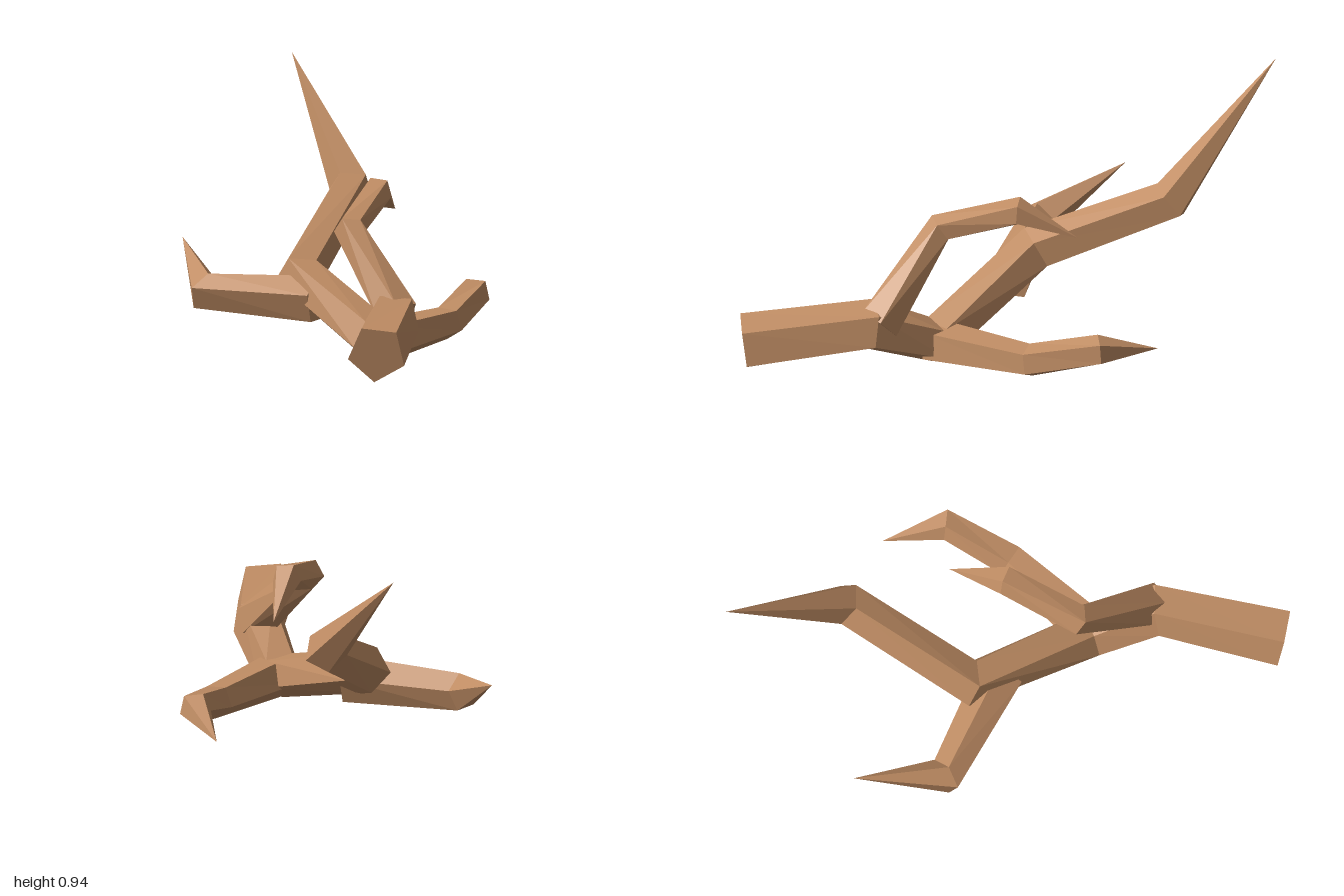
import * as THREE from 'three';

const SIDES = 5;
const material = new THREE.MeshStandardMaterial({ color: 0xc08d64, flatShading: true });
const up = new THREE.Vector3(0, 1, 0);

// Sweeps a five-sided section along rings of [x, y, z, radius]; radius 0 makes a point.
function limb(name, rings, phase = 120) {
  const centres = rings.map(([x, y, z]) => new THREE.Vector3(x, y, z));
  const direction = i => centres[i + 1].clone().sub(centres[i]).normalize();
  const last = rings.length - 1;
  const points = [];
  const index = [];

  rings.forEach((ring, i) => {
    // Each ring is mitred halfway between the two segments it joins.
    const normal = new THREE.Vector3();
    if (i > 0) normal.add(direction(i - 1));
    if (i < last) normal.add(direction(i));
    normal.normalize();
    const across = new THREE.Vector3().crossVectors(normal, up).normalize();
    const rise = new THREE.Vector3().crossVectors(across, normal);
    for (let j = 0; j < SIDES; j++) {
      const angle = THREE.MathUtils.degToRad(phase + (j * 360) / SIDES);
      const p = centres[i].clone()
        .addScaledVector(across, Math.cos(angle) * ring[3])
        .addScaledVector(rise, Math.sin(angle) * ring[3]);
      points.push(p.x, p.y, p.z);
    }
  });

  for (let i = 0; i < last; i++) {
    for (let j = 0; j < SIDES; j++) {
      const a = i * SIDES + j;
      const b = i * SIDES + ((j + 1) % SIDES);
      index.push(a, a + SIDES, b);
      if (rings[i + 1][3] > 0) index.push(b, a + SIDES, b + SIDES);
    }
  }
  // Flat cap on the starting end
  for (let j = 1; j < SIDES - 1; j++) index.push(0, j, j + 1);

  const geometry = new THREE.BufferGeometry();
  geometry.setAttribute('position', new THREE.Float32BufferAttribute(points, 3));
  geometry.setIndex(index);
  const flat = geometry.toNonIndexed();
  flat.computeVertexNormals();
  const mesh = new THREE.Mesh(flat, material);
  mesh.name = name;
  return mesh;
}

export function createModel() {
  const group = new THREE.Group();
  group.name = 'branch';

  // Thick stem that dips at the fork, then climbs to the long rear point
  group.add(limb('mainStem', [
    [0.063, 0.146, 0.985, 0.106],
    [0.15, 0.205, 0.54, 0.097],
    [0.105, 0.09, 0.3, 0.088],
    [-0.145, 0.27, -0.13, 0.086],
    [0.065, 0.525, -0.57, 0.078],
    [-0.12, 0.947, -0.995, 0],
  ]));

  // Hooked twig rising from the first bend
  group.add(limb('upperTwig', [
    [0.165, 0.215, 0.52, 0.078],
    [0.01, 0.49, 0.255, 0.056],
    [0.125, 0.587, 0.0, 0.054],
    [0.2, 0.495, -0.2, 0],
  ]));

  // Low twig on the left of the fork
  group.add(limb('leftTwig', [
    [0.11, 0.09, 0.31, 0.084],
    [0.372, 0.118, 0.02, 0.062],
    [0.482, 0.19, -0.21, 0.058],
    [0.435, 0.145, -0.435, 0],
  ]));

  // Side twig on the right of the main stem
  group.add(limb('rightTwig', [
    [-0.09, 0.195, -0.02, 0.088],
    [-0.475, 0.2, -0.22, 0.07],
    [-0.535, 0.352, -0.545, 0],
  ], 90));

  return group;
}
